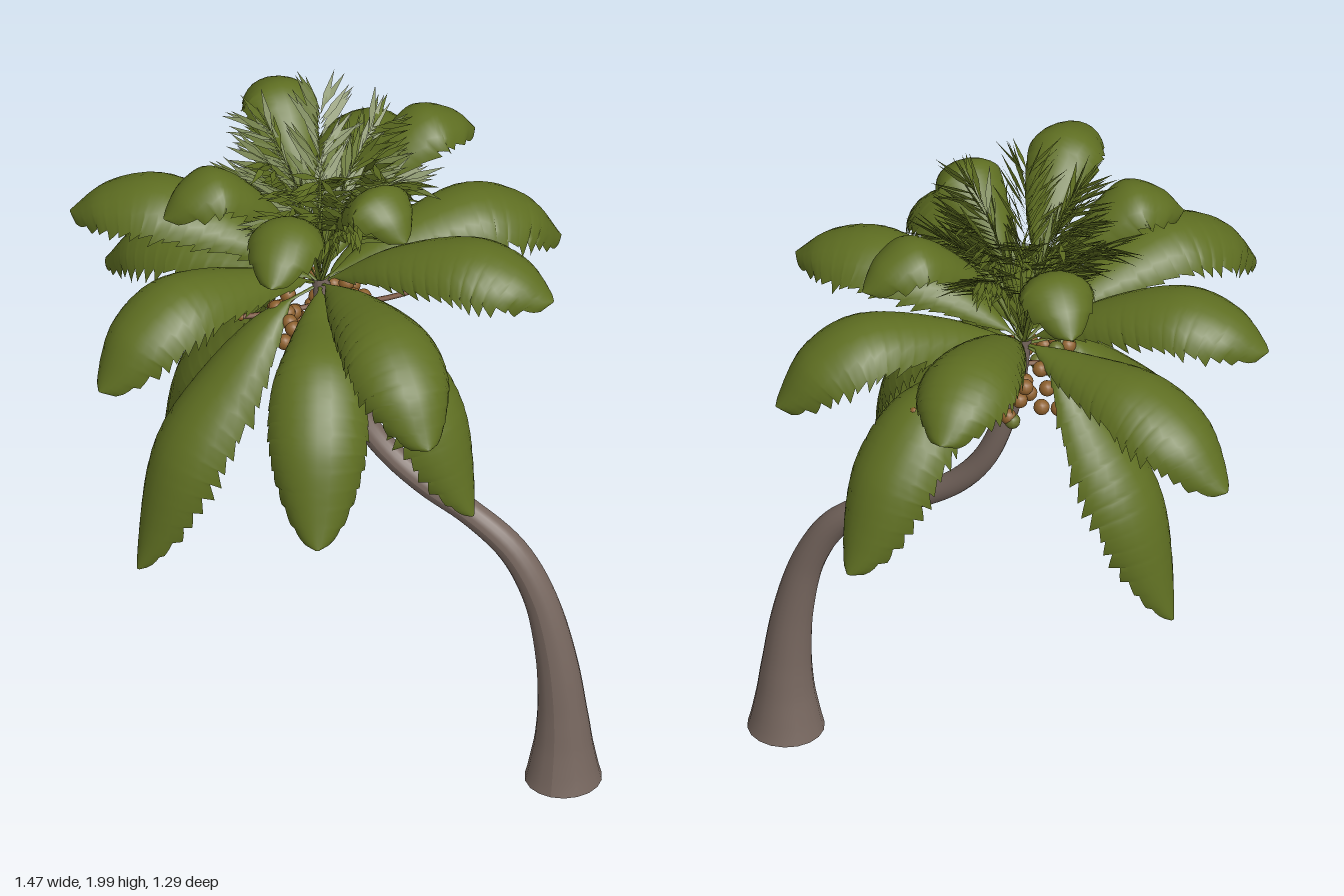
import * as THREE from 'three';

const mat = (name, color, side = THREE.DoubleSide) => {
  const m = new THREE.MeshStandardMaterial({ color, side });
  m.name = name;
  return m;
};
const V = (x, y, z) => new THREE.Vector3(x, y, z);
const CROWN = V(-0.05, 1.46, 0);

// Small seeded random generator
function seeded(seed) {
  return () => {
    seed = (seed * 16807) % 2147483647;
    return seed / 2147483647;
  };
}

// Linear lookup in [position, value] stops
function ramp(stops, t) {
  for (let i = 1; i < stops.length; i++) {
    const [a, va] = stops[i - 1], [b, vb] = stops[i];
    if (t <= b) return va + (vb - va) * (t - a) / (b - a);
  }
  return stops[stops.length - 1][1];
}

// Curved trunk: a unit tube whose rings are scaled to a tapering radius
function trunkGeometry() {
  const path = new THREE.CatmullRomCurve3([
    V(0.635, 0, 0), V(0.633, 0.2, 0), V(0.612, 0.4, 0), V(0.565, 0.58, 0), V(0.49, 0.71, 0),
    V(0.37, 0.805, 0), V(0.25, 0.87, 0), V(0.14, 0.95, -0.005), V(0.06, 1.05, -0.005),
    V(0, 1.2, -0.005), V(-0.03, 1.33, 0), V(-0.05, 1.48, 0),
  ]);
  const radii = [[0, 0.104], [0.02, 0.095], [0.07, 0.078], [0.13, 0.066], [0.22, 0.055], [0.32, 0.045], [0.5, 0.036], [0.75, 0.032], [1, 0.024]];
  const segs = 64, sides = 18;
  const geo = new THREE.TubeGeometry(path, segs, 1, sides, false);
  const pos = geo.attributes.position, v = V(0, 0, 0);
  for (let i = 0; i < pos.count; i++) {
    const t = Math.floor(i / (sides + 1)) / segs, p = path.getPointAt(t);
    v.fromBufferAttribute(pos, i).sub(p).multiplyScalar(ramp(radii, t)).add(p);
    if (t === 0) v.y = 0;
    pos.setXYZ(i, v.x, v.y, v.z);
  }
  geo.computeVertexNormals();
  return geo;
}

// Broad arched leaf with drooping, toothed sides, swept along a curve
function frondGeometry({ tip, mid, frac, width, start, teeth, skew, blunt }, rnd) {
  const end = V(...tip);
  const at = (f, y) => V(CROWN.x + (end.x - CROWN.x) * f, y, end.z * f);
  const rise = mid - CROWN.y;
  const path = new THREE.CatmullRomCurve3([
    CROWN.clone(), at(frac * 0.45, CROWN.y + rise * (rise > 0 ? 0.66 : 0.2)), at(frac, mid),
    at(0.55 + frac / 2, mid + (end.y - mid) * 0.35), end,
  ]);
  const side = V(-end.z, 0, end.x - CROWN.x).normalize();
  const rows = teeth * 4, cols = 10, pos = [], idx = [];
  let toothL = 0, toothR = 0;
  for (let i = 0; i <= rows; i++) {
    const t = i / rows, p = path.getPointAt(t), tan = path.getTangentAt(t);
    const up = side.clone().cross(tan).normalize();
    if (up.y < 0) up.negate();
    const u = Math.max(0, (t - start) / (1 - start));
    const w = Math.max(0.006, width * Math.pow(Math.max(0, Math.sin(Math.PI * Math.pow(u, skew))), blunt));
    const saw = (i % 4) / 3;
    if (i % 4 === 0) [toothL, toothR] = [0.1 + 0.28 * rnd(), 0.1 + 0.28 * rnd()];
    for (let j = 0; j <= cols; j++) {
      const s = (j / cols) * 2 - 1;
      const a = s * (1.25 + saw * (s < 0 ? toothL : toothR));
      const q = p.clone().addScaledVector(side, Math.sin(a) * w)
        .addScaledVector(up, -(1 - Math.cos(a)) * w * 0.85)
        .addScaledVector(tan, Math.pow(Math.abs(s), 3) * w * 0.12 * saw);
      pos.push(q.x, q.y, q.z);
      if (i < rows && j < cols) {
        const k = i * (cols + 1) + j, n = k + cols + 1;
        idx.push(k, k + 1, n, k + 1, n + 1, n);
      }
    }
  }
  const geo = new THREE.BufferGeometry();
  geo.setAttribute('position', new THREE.Float32BufferAttribute(pos, 3));
  geo.setIndex(idx);
  geo.computeVertexNormals();
  return geo;
}

// Young upright frond: a thin rib with narrow pointed leaflets on both sides
function spikeGeometry(angle, reach, top, rnd) {
  const dir = V(Math.cos(angle), 0, Math.sin(angle)), side = V(-dir.z, 0, dir.x);
  const base = V(CROWN.x, 1.48, 0);
  const path = new THREE.QuadraticBezierCurve3(base,
    base.clone().addScaledVector(dir, reach * 0.25).setY(1.72),
    base.clone().addScaledVector(dir, reach).setY(top));
  const pos = [];
  const blade = (p, d, len, w) => {
    const across = d.clone().cross(V(0.3, 0.5, 0.8)).normalize().multiplyScalar(w);
    const m = p.clone().addScaledVector(d, len * 0.45), e = p.clone().addScaledVector(d, len);
    const a = m.clone().add(across), b = m.clone().sub(across);
    for (const q of [p, a, b, b, a, e]) pos.push(q.x, q.y, q.z);
  };
  for (let i = 0; i < 22; i++) {
    const t = 0.38 + 0.62 * i / 21, p = path.getPoint(t), tan = path.getTangent(t);
    for (const s of [-1, 1]) {
      const d = tan.clone().multiplyScalar(0.6 + 0.4 * rnd()).addScaledVector(side, s * (0.3 + 0.4 * rnd()))
        .addScaledVector(dir, 0.7 * rnd()).add(V(0, -0.5 * rnd(), 0)).normalize();
      const len = Math.min(0.21 - 0.08 * t, (1.985 - p.y) / Math.max(d.y, 0.01));
      blade(p, d, len, 0.009);
    }
  }
  blade(base, path.getPoint(0.5).sub(base).normalize(), 0.3, 0.008);
  const geo = new THREE.BufferGeometry();
  geo.setAttribute('position', new THREE.Float32BufferAttribute(pos, 3));
  geo.computeVertexNormals();
  return geo;
}

export function createModel() {
  const model = new THREE.Group();
  model.name = 'palmTree';
  const bark = mat('bark', 0x77675f, THREE.FrontSide);
  const leaf = mat('leafGreen', 0x5f6f22);
  const nut = mat('nutBrown', 0x8c5f2c, THREE.FrontSide);
  const greenNut = mat('unripeGreen', 0x66702a, THREE.FrontSide);
  const stalkMat = mat('stalkBrown', 0x79523a, THREE.FrontSide);
  const rnd = seeded(17);
  const group = (name) => {
    const g = new THREE.Group();
    g.name = name;
    model.add(g);
    return g;
  };
  const add = (name, geo, material, parent = model) => {
    const m = new THREE.Mesh(geo, material);
    m.name = name;
    parent.add(m);
    return m;
  };

  // Trunk and its underside
  add('trunk', trunkGeometry(), bark);
  const foot = add('trunkBase', new THREE.CircleGeometry(0.104, 18), bark);
  foot.rotation.x = Math.PI / 2;
  foot.position.set(0.635, 0.001, 0);

  // Leaf tiers: tip position and height of the arch
  const tiers = {
    upperFronds: { width: 0.105, start: 0.3, frac: 0.66, teeth: 12, skew: 1.4, blunt: 0.5, leaves: [
      [[-0.34, 1.79, -0.36], 1.9], [[0.26, 1.79, -0.37], 1.9], [[-0.39, 1.79, 0.3], 1.9],
      [[-0.01, 1.8, 0.53], 1.9], [[0.26, 1.79, 0.2], 1.9]] },
    middleFronds: { width: 0.137, start: 0.06, frac: 0.65, teeth: 18, skew: 1.5, blunt: 0.48, leaves: [
      [[-0.735, 1.58, 0.06], 1.71], [[0.615, 1.56, 0.02], 1.68], [[-0.08, 1.56, -0.645], 1.69],
      [[-0.46, 1.43, 0.63], 1.66], [[0.44, 1.38, 0.54], 1.61], [[0.47, 1.42, -0.47], 1.63]] },
    lowerFronds: { width: 0.138, start: 0.05, frac: 0.58, teeth: 18, skew: 1.3, blunt: 0.52, leaves: [
      [[-0.715, 1.27, -0.18], 1.5], [[0.19, 1.06, -0.645], 1.48], [[0.16, 1.06, 0.645], 1.48]] },
    hangingFronds: { width: 0.136, start: 0.1, frac: 0.59, teeth: 18, skew: 1.05, blunt: 0.65, leaves: [
      [[-0.41, 0.75, 0.46], 1.27], [[0.44, 0.92, 0.17], 1.36], [[-0.53, 0.75, -0.11], 1.27]] },
  };
  for (const [name, { leaves, ...shape }] of Object.entries(tiers)) {
    const tier = group(name);
    leaves.forEach(([tip, mid], i) => add('frond' + (i + 1), frondGeometry({ ...shape, tip, mid }, rnd), leaf, tier));
  }

  // Spiky young growth at the heart of the crown
  const heart = group('youngFronds');
  for (let i = 0; i < 12; i++) {
    add('youngFrond' + (i + 1),
      spikeGeometry(i * 0.5236 + 0.2, i % 2 ? 0.21 : 0.16, i % 2 ? 1.79 : 1.91, rnd), leaf, heart);
  }

  // Nuts clustered round the top of the trunk
  const nuts = group('nuts');
  const ball = new THREE.SphereGeometry(0.022, 12, 8);
  for (let i = 0; i < 52; i++) {
    const a = i * 2.4, r = 0.06 + 0.08 * rnd();
    const m = add('nut' + (i + 1), ball, i % 10 === 9 ? greenNut : nut, nuts);
    m.position.set(-0.045 + Math.cos(a) * r, 1.29 + 0.15 * rnd(), Math.sin(a) * r);
  }

  // Short flower stalks under the leaves, each tipped with a bud
  const stalks = group('flowerStalks');
  const bud = new THREE.SphereGeometry(0.011, 8, 6);
  [[0.27, 1.47, -0.13], [-0.24, 1.37, 0.1], [0.1, 1.46, -0.4]].forEach(([x, y, z], i) => {
    const path = new THREE.QuadraticBezierCurve3(V(-0.05, 1.39, 0), V(x * 0.5, 1.38, z * 0.5), V(x, y, z));
    add('stalk' + (i + 1), new THREE.TubeGeometry(path, 10, 0.008, 6), stalkMat, stalks);
    add('bud' + (i + 1), bud, nut, stalks).position.set(x, y, z);
  });
  return model;
}
